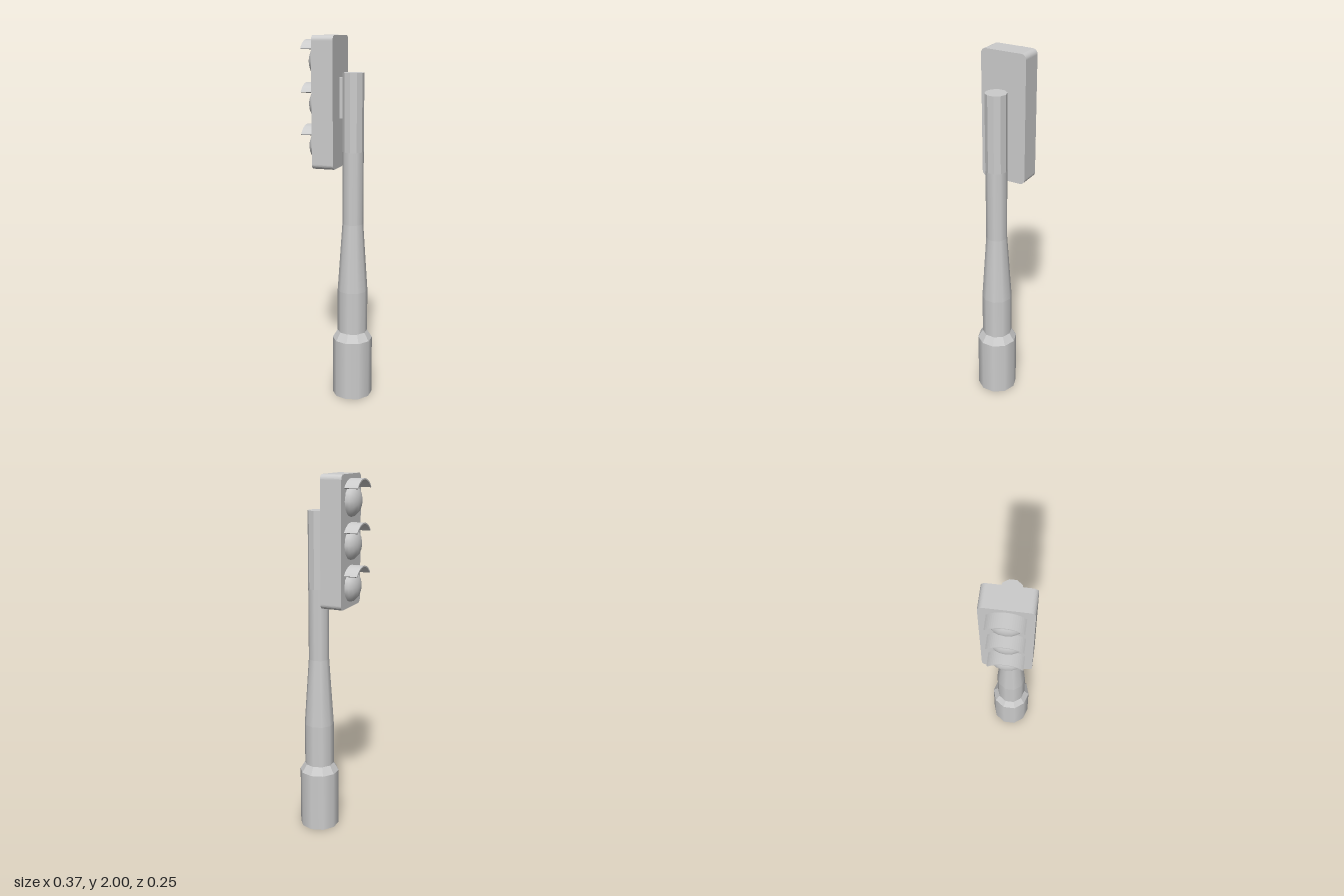
import * as THREE from 'three';

const POLE_X = 0.076, SIDES = 10;
const HEAD_FRONT = -0.112, HEAD_BACK = 0.005;

const smooth = new THREE.MeshStandardMaterial({ color: 0xcccccc });
const flat = new THREE.MeshStandardMaterial({ color: 0xcccccc, flatShading: true });
const thin = new THREE.MeshStandardMaterial({ color: 0xcccccc, side: THREE.DoubleSide });

function add(parent, name, geometry, material) {
  const mesh = new THREE.Mesh(geometry, material);
  mesh.name = name;
  parent.add(mesh);
  return mesh;
}

// Extrudes a shape drawn in (z, y) along the x axis, from x0 to x1
function extrudeAlongX(shape, x0, x1, curveSegments) {
  const geometry = new THREE.ExtrudeGeometry(shape, { depth: x1 - x0, bevelEnabled: false, curveSegments });
  geometry.rotateY(-Math.PI / 2);
  geometry.translate(x1, 0, 0);
  return geometry;
}

function roundedRect(w, y0, y1, r) {
  const s = new THREE.Shape();
  s.absarc(w - r, y1 - r, r, 0, Math.PI / 2);
  s.absarc(-w + r, y1 - r, r, Math.PI / 2, Math.PI);
  s.absarc(-w + r, y0 + r, r, Math.PI, Math.PI * 1.5);
  s.absarc(w - r, y0 + r, r, Math.PI * 1.5, Math.PI * 2);
  s.closePath();
  return s;
}

export function createModel() {
  const model = new THREE.Group();

  // Ten-sided pole: wide base, collar, shaft, taper and upper mast
  const pole = new THREE.Group();
  pole.name = 'pole';
  pole.position.x = POLE_X;
  model.add(pole);
  const sections = [
    // name, bottom y, top y, bottom radius, top radius, material
    ['poleBase', 0, 0.335, 0.111, 0.111, smooth],
    ['poleCollar', 0.335, 0.38, 0.111, 0.083, flat],
    ['lowerShaft', 0.38, 0.62, 0.083, 0.083, smooth],
    ['taperedShaft', 0.62, 1.0, 0.083, 0.057, smooth],
    ['upperShaft', 1.0, 1.395, 0.057, 0.057, smooth],
    ['mastTop', 1.395, 1.81, 0.057, 0.057, flat],
  ];
  sections.forEach(([name, y0, y1, r0, r1, material], i) => {
    const capped = i === 0 || i === sections.length - 1;
    const geometry = new THREE.CylinderGeometry(r1, r0, y1 - y0, SIDES, 1, !capped);
    add(pole, name, geometry, material).position.y = (y0 + y1) / 2;
  });

  // Bracket between mast and signal housing
  const bracket = add(model, 'bracket', new THREE.BoxGeometry(0.05, 0.215, 0.038), smooth);
  bracket.position.set(0.02, 1.678, 0);

  // Signal housing with rounded corners
  add(model, 'housing', extrudeAlongX(roundedRect(0.127, 1.31, 2.0, 0.027), HEAD_FRONT, HEAD_BACK, 5), smooth);

  // Three domed lamps, each under a curved visor
  const halfAngle = Math.asin(0.09 / 0.112);
  const a0 = Math.PI / 2 - halfAngle, a1 = Math.PI / 2 + halfAngle;
  const arc = new THREE.Shape();
  arc.absarc(0, 0, 0.112, a0, a1, false);
  arc.absarc(0, 0, 0.105, a1, a0, true);
  arc.closePath();
  const visorGeometry = extrudeAlongX(arc, -0.185, HEAD_FRONT, 10);

  const domeGeometry = new THREE.SphereGeometry(0.084, 12, 4, 0, Math.PI * 2, 0, Math.PI / 2);
  domeGeometry.scale(1, 0.053 / 0.084, 1);
  domeGeometry.rotateZ(Math.PI / 2);

  ['upper', 'middle', 'lower'].forEach((level, i) => {
    const y = 1.866 - i * 0.222;
    add(model, level + 'Lamp', domeGeometry, smooth).position.set(HEAD_FRONT, y, 0);
    add(model, level + 'Visor', visorGeometry, thin).position.y = y;
  });

  return model;
}
